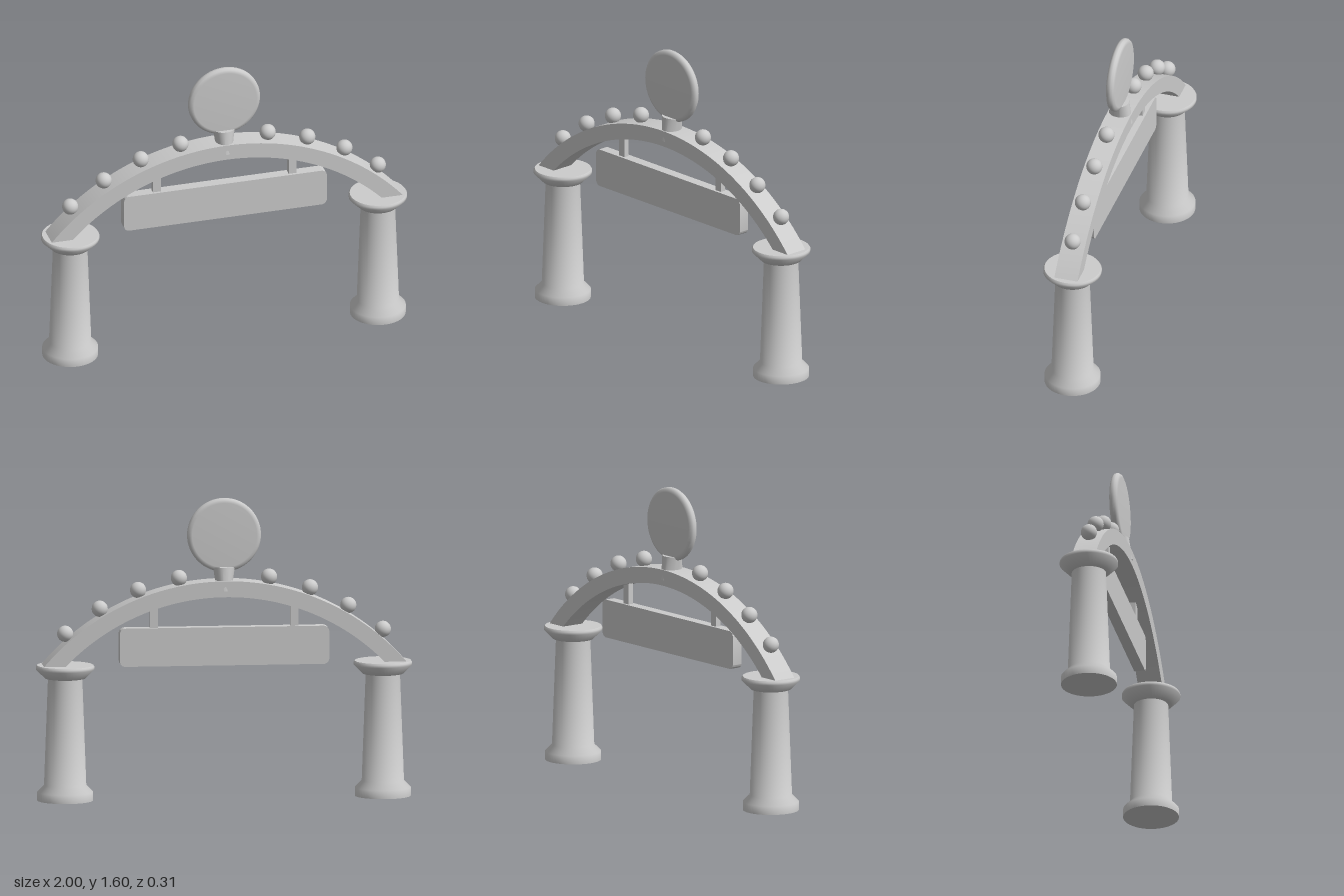
import * as THREE from 'three';
import { toCreasedNormals } from 'three/addons/utils/BufferGeometryUtils.js';

const CENTER_Y = -0.104; // centre of the arch circle
const OUTER = 1.269, INNER = 1.184, ARCH_DEPTH = 0.128;

const material = new THREE.MeshStandardMaterial({ color: 0xcccccc });

function add(group, name, geometry, x = 0, y = 0, z = 0) {
  const mesh = new THREE.Mesh(geometry, material);
  mesh.name = name;
  mesh.position.set(x, y, z);
  group.add(mesh);
  return mesh;
}

function lathe(points, segments = 48) {
  return new THREE.LatheGeometry(points.map(([r, y]) => new THREE.Vector2(r, y)), segments);
}

// Extrude a shape, centred on z = 0
function slab(shape, depth, curveSegments) {
  const g = new THREE.ExtrudeGeometry(shape, { depth, curveSegments, bevelEnabled: false });
  g.translate(0, 0, -depth / 2);
  return toCreasedNormals(g, 0.5);
}

function archShape() {
  const half = THREE.MathUtils.degToRad(49.4);
  const a = Math.PI / 2 - half, b = Math.PI / 2 + half;
  const s = new THREE.Shape();
  s.absarc(0, CENTER_Y, OUTER, a, b, false);
  s.absarc(0, CENTER_Y, INNER, b, a, true);
  s.closePath();
  return s;
}

function roundedRect(w, h, r) {
  const x = w / 2 - r, y = h / 2 - r, q = Math.PI / 2;
  const s = new THREE.Shape();
  s.absarc(x, y, r, 0, q, false);
  s.absarc(-x, y, r, q, 2 * q, false);
  s.absarc(-x, -y, r, 2 * q, 3 * q, false);
  s.absarc(x, -y, r, 3 * q, 4 * q, false);
  s.closePath();
  return s;
}

export function createModel() {
  const group = new THREE.Group();
  group.name = 'entranceArch';

  // Pillars: flared foot, tapered shaft, dish-shaped capital
  const pillar = toCreasedNormals(lathe([
    [0, 0], [0.148, 0], [0.148, 0.045], [0.112, 0.082], [0.091, 0.65],
    [0.108, 0.653], [0.155, 0.7], [0.155, 0.713], [0.149, 0.722], [0, 0.722],
  ]), 0.85);

  const bulb = new THREE.SphereGeometry(0.043, 24, 16);
  const hanger = new THREE.BoxGeometry(0.043, 0.16, 0.03);

  for (const [side, sx] of [['left', 1], ['right', -1]]) {
    add(group, side + 'Pillar', pillar, sx * 0.845);
    add(group, side + 'SignHanger', hanger, sx * 0.373, 0.98);

    // Bulbs along the top of the arch
    for (let i = 0; i < 4; i++) {
      const t = THREE.MathUtils.degToRad(10.6 + 9.93 * i);
      add(group, side + 'Bulb' + (i + 1), bulb,
        sx * 1.304 * Math.sin(t), CENTER_Y + 1.304 * Math.cos(t));
    }
  }

  // Curved beam and hanging sign board
  add(group, 'archBeam', slab(archShape(), ARCH_DEPTH, 48));
  add(group, 'signBoard', slab(roundedRect(1.114, 0.204, 0.03), 0.058, 8), 0, 0.813);

  // Neck: oval section, wide across the top and deep at the bottom
  const neck = new THREE.CylinderGeometry(1, 1, 0.125, 32);
  const p = neck.attributes.position;
  for (let i = 0; i < p.count; i++) {
    const top = p.getY(i) > 0;
    p.setX(i, p.getX(i) * (top ? 0.058 : 0.04));
    p.setZ(i, p.getZ(i) * (top ? 0.048 : 0.068));
  }
  add(group, 'medallionNeck', toCreasedNormals(neck, 0.6), 0, 1.1725);

  // Round medallion with a chamfered rim
  const disc = lathe([
    [0, -0.024], [0.172, -0.024], [0.188, -0.018], [0.196, -0.007],
    [0.196, 0.007], [0.188, 0.018], [0.172, 0.024], [0, 0.024],
  ], 64);
  disc.rotateX(Math.PI / 2);
  add(group, 'medallion', disc, 0, 1.405);

  return group;
}
